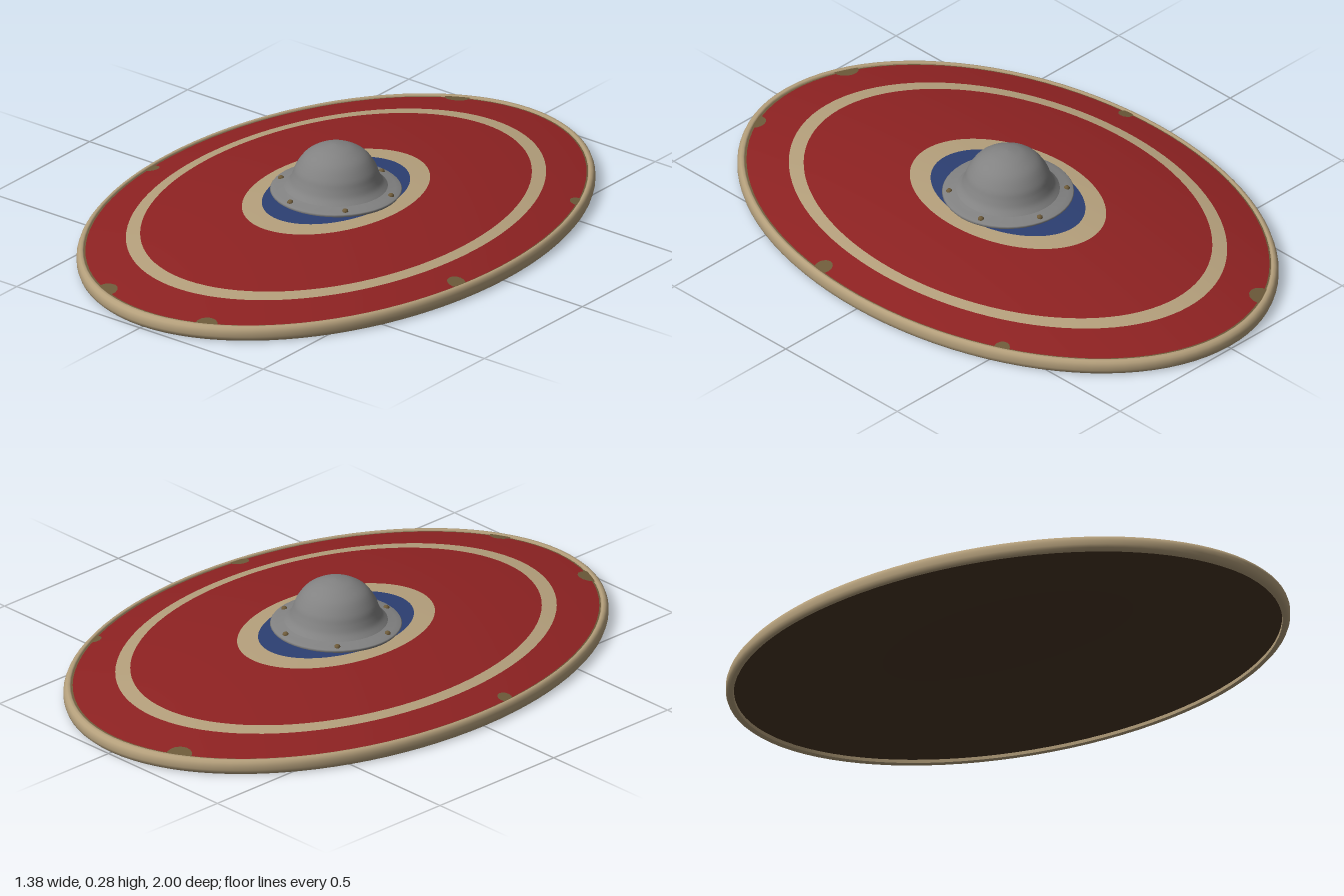
import * as THREE from 'three';

const RX = 0.69; // half width; half length is 1
const mat = (name, color, side = THREE.FrontSide) => {
  const m = new THREE.MeshStandardMaterial({ color, side });
  m.name = name;
  return m;
};

// Height of the domed board at elliptical radius r
const boardY = (r) => 0.04 + 0.085 * (1 - r * r);

export function createModel() {
  const red = mat('red paint', 0x8e2222);
  const tan = mat('tan hide', 0xb5a07c);
  const blue = mat('blue paint', 0x2c3f72);
  const steel = mat('steel', 0x828282);
  const wood = mat('dark wood', 0x4a3624);
  const worn = mat('worn wood', 0x6e5b3a);

  const group = new THREE.Group();
  const add = (name, geometry, material, parent = group) => {
    const mesh = new THREE.Mesh(geometry, material);
    mesh.name = name;
    parent.add(mesh);
    return mesh;
  };
  const lathe = (pts, seg) => new THREE.LatheGeometry(pts.map(([r, y]) => new THREE.Vector2(r, y)), seg);

  // Oval parts are turned round and squeezed in x
  const oval = new THREE.Group();
  oval.name = 'ovalBoard';
  oval.scale.x = RX;
  group.add(oval);

  // Painted bands of the domed face, each from outer to inner radius
  const band = (name, outer, inner, material) => {
    const steps = Math.max(2, Math.ceil((outer - inner) / 0.04));
    const pts = [];
    for (let i = 0; i <= steps; i++) {
      const r = outer + ((inner - outer) * i) / steps;
      pts.push([r, boardY(r)]);
    }
    add(name, lathe(pts, 96), material, oval);
  };
  band('wornEdge', 0.985, 0.966, worn);
  band('outerRedField', 0.966, 0.81, red);
  band('outerTanRing', 0.81, 0.755, tan);
  band('innerRedField', 0.755, 0.363, red);
  band('innerTanRing', 0.363, 0.286, tan);
  band('blueCentre', 0.286, 0, blue);

  // Hollow back of the board
  const back = [];
  for (let i = 0; i <= 16; i++) {
    const r = (0.985 * i) / 16;
    back.push([r, boardY(r) - 0.03]);
  }
  add('boardBack', lathe(back, 96), wood, oval);

  // Rounded rim binding
  add('rim', lathe([
    [0.972, 0.004], [0.978, 0], [0.988, 0.001], [0.996, 0.008], [1, 0.018], [1, 0.032],
    [0.996, 0.042], [0.988, 0.049], [0.978, 0.05], [0.972, 0.046], [0.97, 0.025], [0.972, 0.004],
  ], 96), tan, oval);

  // Chipped paint along the edge: discs draped on the dome
  [[-0.23, -0.91, 0.042], [0.56, -0.53, 0.026], [0.64, 0.19, 0.03],
    [-0.65, 0.12, 0.024], [-0.2, 0.925, 0.04], [0.21, 0.925, 0.036]].forEach(([cx, cz, size], i) => {
    const chip = new THREE.CircleGeometry(size, 14).rotateX(-Math.PI / 2);
    const p = chip.attributes.position;
    for (let k = 0; k < p.count; k++) {
      let x = (p.getX(k) + cx) / RX;
      let z = p.getZ(k) + cz;
      const r = Math.hypot(x, z);
      const s = Math.min(1, 0.976 / r);
      x *= s;
      z *= s;
      p.setXYZ(k, x * RX, boardY(r * s) + 0.003, z);
    }
    chip.computeVertexNormals();
    add('paintChip' + (i + 1), chip, worn);
  });

  // Round boss: flange, flared neck and dome
  add('bossFlange', lathe([[0.205, 0.117], [0.21, 0.124], [0.207, 0.128], [0.19, 0.131], [0.165, 0.137]], 48), steel);
  const domeCurve = new THREE.SplineCurve([
    [0.165, 0.137], [0.149, 0.154], [0.138, 0.178], [0.127, 0.206],
    [0.1, 0.243], [0.06, 0.268], [0.025, 0.278], [0, 0.281],
  ].map(([r, y]) => new THREE.Vector2(r, y)));
  const domePts = domeCurve.getPoints(28).map((v) => [Math.max(0, v.x), v.y]);
  add('bossDome', lathe(domePts, 48), steel);

  // Six rivets on the flange
  const rivet = new THREE.SphereGeometry(0.01, 12, 6, 0, Math.PI * 2, 0, Math.PI / 2);
  for (let i = 0; i < 6; i++) {
    const a = ((-17.5 + i * 60) * Math.PI) / 180;
    add('rivet' + (i + 1), rivet, worn).position.set(Math.cos(a) * 0.187, 0.13, Math.sin(a) * 0.187);
  }
  return group;
}
